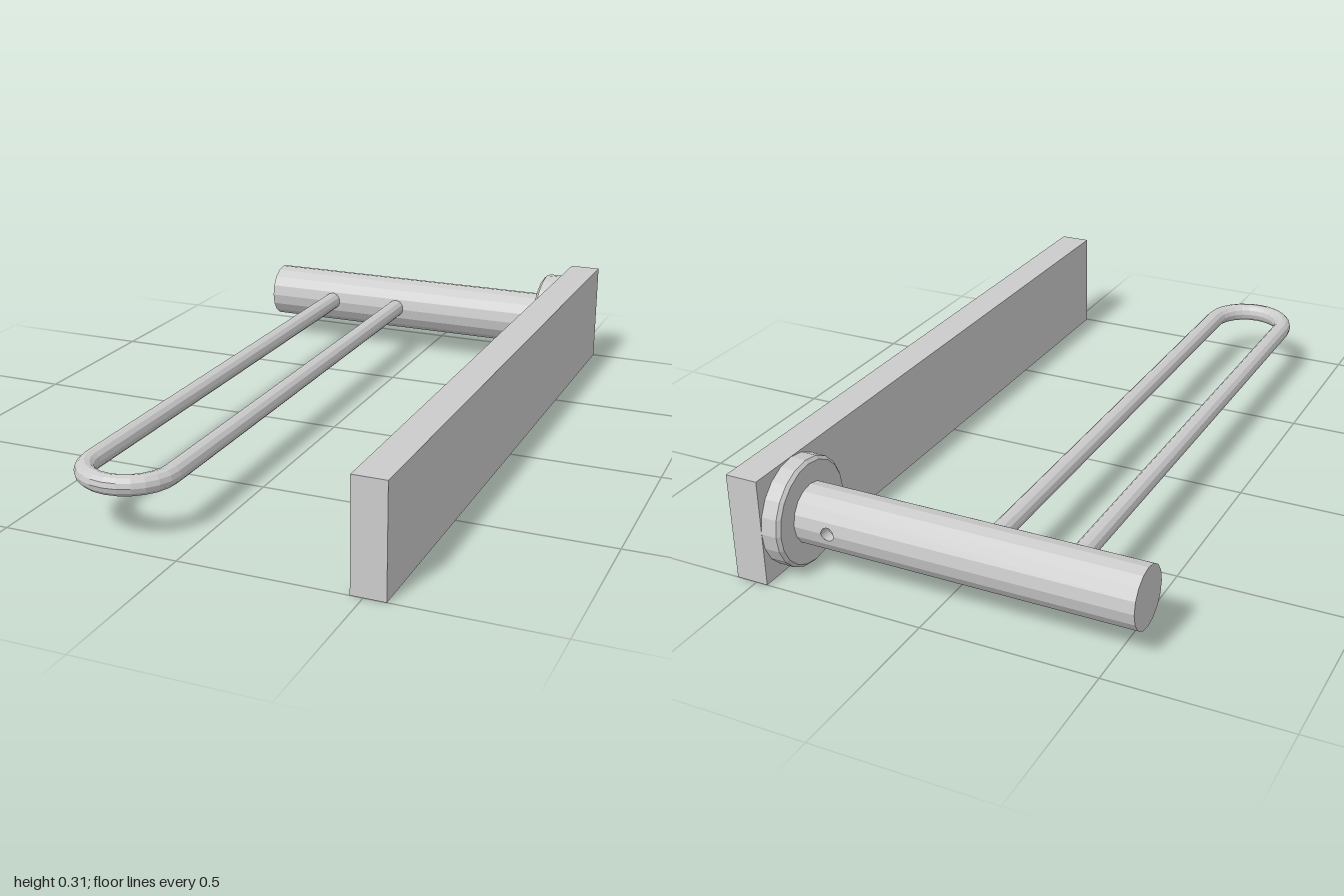
import * as THREE from 'three';

const material = new THREE.MeshStandardMaterial({ color: 0xcccccc, flatShading: true });
const openMaterial = new THREE.MeshStandardMaterial({ color: 0xcccccc, flatShading: true, side: THREE.DoubleSide });

const AXIS_Y = 0.156, AXIS_Z = -0.846; // centre line of the rod
const ROD_R = 0.086, ROD_START = -0.56, ROD_END = 0.412, SIDES = 16;
const HOLE_X = 0.31, HOLE_R = 0.019, HOLE_DEPTH = 0.035;

function add(parent, name, geometry, x = 0, y = 0, z = 0, mat = material) {
  const mesh = new THREE.Mesh(geometry, mat);
  mesh.name = name;
  mesh.position.set(x, y, z);
  parent.add(mesh);
  return mesh;
}

// depth of the two rear facets at height v from the rod's axis
const rearZ = (v) => -(ROD_R - Math.abs(v) * Math.tan(Math.PI / SIDES));

// half of the rear of the rod: one long facet with a half-round notch
function rearFacet(side) {
  const top = ROD_R * Math.sin(2 * Math.PI / SIDES);
  const shape = new THREE.Shape();
  shape.moveTo(ROD_START, 0);
  shape.lineTo(HOLE_X - HOLE_R, 0);
  shape.absarc(HOLE_X, 0, HOLE_R, Math.PI, 0, true);
  shape.lineTo(ROD_END, 0);
  shape.lineTo(ROD_END, top);
  shape.lineTo(ROD_START, top);
  const geometry = new THREE.ShapeGeometry(shape, 10);
  const p = geometry.attributes.position;
  for (let i = 0; i < p.count; i++) {
    const v = p.getY(i) * side;
    p.setXYZ(i, p.getX(i), v, rearZ(v));
  }
  geometry.computeVertexNormals();
  return geometry;
}

// wall of the screw hole, trimmed to the rod's surface
function holeWall() {
  const geometry = new THREE.CylinderGeometry(HOLE_R, HOLE_R, 1, 20, 1, true).rotateX(Math.PI / 2);
  const p = geometry.attributes.position;
  for (let i = 0; i < p.count; i++) {
    p.setZ(i, p.getZ(i) < 0 ? rearZ(p.getY(i)) : -ROD_R + HOLE_DEPTH);
  }
  return geometry;
}

export function createModel() {
  const model = new THREE.Group();
  model.name = 'wallRail';

  // long flat bar
  add(model, 'mountingBar', new THREE.BoxGeometry(0.094, 0.311, 2), 0.513, 0.1555, 0);

  // round flange with a small chamfer
  const profile = [[0, 0], [0.154, 0], [0.154, 0.045], [0.145, 0.054], [0, 0.054]]
    .map(([r, h]) => new THREE.Vector2(r, h));
  add(model, 'flange', new THREE.LatheGeometry(profile, 20).rotateZ(Math.PI / 2), 0.466, AXIS_Y, AXIS_Z);

  // horizontal rod with a screw hole in its back
  const rod = new THREE.Group();
  rod.name = 'rod';
  rod.position.set(0, AXIS_Y, AXIS_Z);
  model.add(rod);
  const gap = 2 * Math.PI / SIDES;
  const shell = new THREE.CylinderGeometry(ROD_R, ROD_R, ROD_END - ROD_START, SIDES - 2, 1, true,
    Math.PI + gap, 2 * Math.PI - 2 * gap).rotateZ(Math.PI / 2);
  add(rod, 'rodShell', shell, (ROD_START + ROD_END) / 2);
  for (const side of [1, -1]) add(rod, 'rodRearFacet', rearFacet(side), 0, 0, 0, openMaterial);
  add(rod, 'rodEnd', new THREE.CircleGeometry(ROD_R, SIDES).rotateY(-Math.PI / 2), ROD_START);
  add(rod, 'screwHoleWall', holeWall(), HOLE_X, 0, 0, openMaterial);
  add(rod, 'screwHoleFloor', new THREE.CircleGeometry(HOLE_R, 20).rotateY(Math.PI), HOLE_X, 0, -ROD_R + HOLE_DEPTH);

  // long U-shaped loop: two straight legs and a half-torus bend
  const loop = new THREE.Group();
  loop.name = 'loop';
  loop.position.set(-0.211, 0.158, 0);
  model.add(loop);
  const wire = 0.028, bend = 0.119, bendZ = 0.845, legStart = -0.8;
  for (const side of [1, -1]) {
    const leg = new THREE.CylinderGeometry(wire, wire, bendZ - legStart, 12, 1, true).rotateX(Math.PI / 2);
    add(loop, 'loopLeg', leg, side * bend, 0, (bendZ + legStart) / 2);
  }
  add(loop, 'loopBend', new THREE.TorusGeometry(bend, wire, 12, 12, Math.PI).rotateX(Math.PI / 2), 0, 0, bendZ);

  return model;
}
